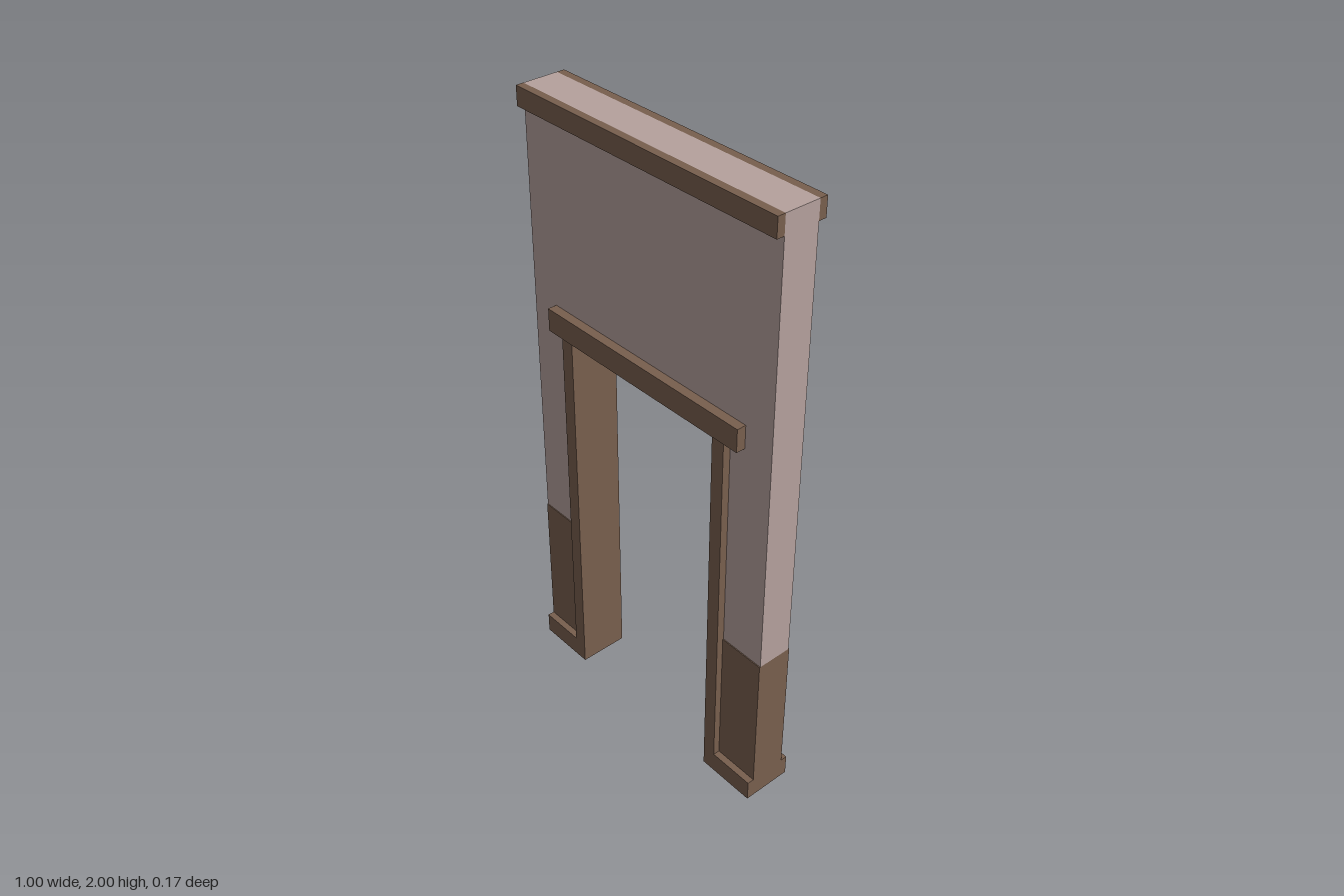
import * as THREE from 'three';

export function createModel() {
  const root = new THREE.Group();
  root.name = 'doorwayWall';

  const plaster = new THREE.MeshStandardMaterial({ color: 0xb5a19d });
  plaster.name = 'plaster';
  const wood = new THREE.MeshStandardMaterial({ color: 0x785f4e });
  wood.name = 'wood';

  // Box given by its extents along each axis
  function box(name, material, [x0, x1], [y0, y1], [z0, z1]) {
    const mesh = new THREE.Mesh(new THREE.BoxGeometry(x1 - x0, y1 - y0, z1 - z0), material);
    mesh.position.set((x0 + x1) / 2, (y0 + y1) / 2, (z0 + z1) / 2);
    mesh.name = name;
    root.add(mesh);
  }

  const wallZ = 0.057;
  const trimZ = 0.082;

  // Wall above the opening and the beam that spans it
  box('upperWall', plaster, [-0.5, 0.5], [1.35, 2], [-wallZ, wallZ]);
  box('lintel', wood, [-0.4, 0.4], [1.275, 1.35], [-0.087, 0.087]);

  // Posts on both sides of the opening
  for (const [side, s] of [['left', 1], ['right', -1]]) {
    const span = (a, b) => (s > 0 ? [a, b] : [-b, -a]);
    box(side + 'Wall', plaster, span(0.345, 0.5), [0.55, 1.35], [-wallZ, wallZ]);
    box(side + 'Wainscot', wood, span(0.345, 0.5), [0.07, 0.55], [-0.06, 0.06]);
    box(side + 'Baseboard', wood, span(0.345, 0.5), [0, 0.07], [-trimZ, trimZ]);
    box(side + 'Jamb', wood, span(0.3, 0.345), [0, 1.275], [-trimZ, trimZ]);
  }

  // Crown strips along the top of both faces
  box('frontCrown', wood, [-0.5, 0.5], [1.94, 2], [wallZ, trimZ]);
  box('backCrown', wood, [-0.5, 0.5], [1.94, 2], [-trimZ, -wallZ]);

  return root;
}
